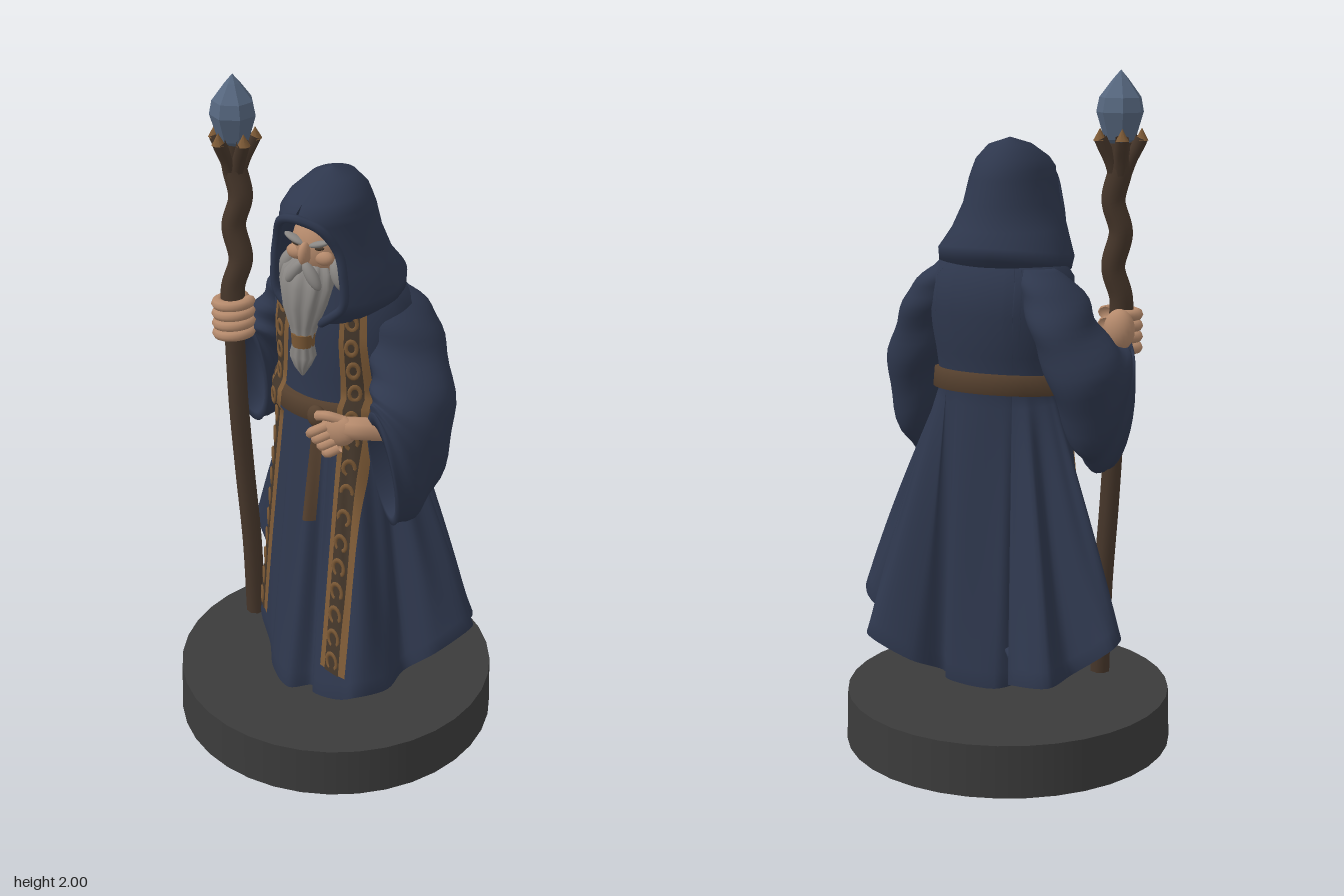
import * as THREE from 'three';

const V = (x, y, z) => new THREE.Vector3(x, y, z);
const TAU = Math.PI * 2;

// Skin a list of point rings into one smooth surface
function loft(rings, closed = true, capEnds = false) {
  const n = rings[0].length, pos = [], idx = [];
  rings.forEach(r => r.forEach(p => pos.push(p.x, p.y, p.z)));
  for (let j = 0; j < rings.length - 1; j++)
    for (let i = 0; i < (closed ? n : n - 1); i++) {
      const a = j * n + i, b = j * n + (i + 1) % n;
      idx.push(a, a + n, b, b, a + n, b + n);
    }
  if (capEnds) [0, rings.length - 1].forEach((j, e) => {
    const c = rings[j].reduce((s, p) => s.add(p), V(0, 0, 0)).divideScalar(n);
    const k = pos.length / 3;
    pos.push(c.x, c.y, c.z);
    for (let i = 0; i < n; i++) {
      const a = j * n + i, b = j * n + (i + 1) % n;
      e ? idx.push(a, k, b) : idx.push(a, b, k);
    }
  });
  const g = new THREE.BufferGeometry();
  g.setAttribute('position', new THREE.Float32BufferAttribute(pos, 3));
  g.setIndex(idx);
  g.computeVertexNormals();
  return g;
}

// Horizontal ring; rise lifts its back
const ellipse = (n, y, rx, rz, cz, { cx = 0, rise = 0, ripple = () => 1 } = {}) =>
  Array.from({ length: n }, (_, i) => {
    const a = i / n * TAU, k = ripple(a);
    return V(cx + Math.sin(a) * rx * k, y + rise * (1 - Math.cos(a)) / 2, cz + Math.cos(a) * rz * k);
  });

export function createModel() {
  const model = new THREE.Group();
  const mat = (name, color) => {
    const m = new THREE.MeshStandardMaterial({ color, side: THREE.DoubleSide });
    m.name = name;
    return m;
  };
  const M = {
    cloth: mat('navy cloth', 0x2e374d), wood: mat('staff wood', 0x46362a),
    leather: mat('belt leather', 0x55402e), gold: mat('trim gold', 0x7d5a36),
    dark: mat('trim recess', 0x43362a), skin: mat('skin', 0xb58a6c),
    hair: mat('grey hair', 0x8a8784), base: mat('base grey', 0x3b3b3b),
    crystal: mat('crystal blue', 0x56677f),
  };
  M.crystal.flatShading = true;
  const add = (name, geo, m, parent = model) => {
    const mesh = new THREE.Mesh(geo, m);
    mesh.name = name;
    parent.add(mesh);
    return mesh;
  };
  const blob = (name, m, p, s, rz = 0, parent = model) => {
    const b = add(name, new THREE.SphereGeometry(1, 20, 14), m, parent);
    b.position.set(...p); b.scale.set(...s); b.rotation.z = rz;
    return b;
  };
  const tube = (name, m, pts, r, parent = model, seg = 20) =>
    add(name, new THREE.TubeGeometry(new THREE.CatmullRomCurve3(pts.map(p => V(...p))), seg, r, 8), m, parent);

  // Round base
  add('base', new THREE.CylinderGeometry(0.485, 0.49, 0.155, 36), M.base).position.y = 0.0775;

  // Robe: hem outline as [x, z, y], blended up into waist and chest ellipses
  const hem = new THREE.CatmullRomCurve3([
    [0.47, 0, 0.43], [0.44, -0.07, 0.4], [0.31, -0.11, 0.31], [0.38, -0.18, 0.33], [0.35, -0.23, 0.33],
    [0.21, -0.24, 0.28], [0.13, -0.18, 0.24], [0.09, -0.24, 0.24], [-0.07, -0.26, 0.24], [-0.12, -0.23, 0.25],
    [-0.17, -0.38, 0.31], [-0.3, -0.41, 0.33], [-0.33, -0.31, 0.34], [-0.44, -0.28, 0.42], [-0.44, -0.21, 0.43],
    [-0.33, -0.13, 0.33], [-0.28, -0.04, 0.28], [-0.25, 0.05, 0.27], [-0.14, 0.16, 0.24], [-0.09, 0.22, 0.21],
    [0, 0.27, 0.2], [0.06, 0.235, 0.21], [0.1, 0.285, 0.23], [0.2, 0.31, 0.26], [0.26, 0.31, 0.29],
    [0.32, 0.22, 0.29], [0.32, 0.13, 0.3], [0.41, 0.1, 0.38],
  ].map(([x, z, y]) => V(x, y, z)), true).getPoints(168).slice(0, -1);
  const section = (y, rx, rz, cz) => hem.map(h => {
    const a = Math.atan2(h.x, h.z + 0.04);
    return V(Math.sin(a) * rx, y, cz + Math.cos(a) * rz);
  });
  const waist = section(1.1, 0.19, 0.15, -0.03);
  const rings = [hem.map(h => V(h.x * 0.8, h.y + 0.05, h.z * 0.8)), hem.map(h => V(h.x * 0.97, h.y + 0.002, h.z * 0.97))];
  for (let j = 0; j <= 18; j++) {
    const t = 1 - j / 18;
    rings.push(hem.map((h, i) => {
      const p = waist[i].clone().lerp(h, t), k = 1 + 0.03 * Math.sin(i * TAU / 8) * Math.sin(Math.PI * t);
      return V(p.x * k, p.y, p.z * k);
    }));
  }
  [[1.2, 0.2, 0.15, -0.04], [1.32, 0.22, 0.16, -0.05], [1.42, 0.22, 0.14, -0.05],
    [1.48, 0.17, 0.11, -0.03], [1.54, 0.08, 0.07, 0]].forEach(r => rings.push(section(...r)));
  const robe = add('robe', loft(rings, true, true), M.cloth);

  // Belt with hanging end
  const belt = add('belt', loft([[1.065, 0.19, 0.15], [1.07, 0.213, 0.172], [1.125, 0.208, 0.168], [1.13, 0.18, 0.14]]
    .map(([y, rx, rz]) => ellipse(48, y, rx, rz, -0.03, { rise: 0.025 }))), M.leather);

  // Strips laid over the front of the robe
  model.updateMatrixWorld(true);
  const ray = new THREE.Raycaster();
  let lastZ = 0.12;
  const onFront = (x, y, off) => {
    ray.set(V(x, y, 2), V(0, 0, -1));
    const hit = ray.intersectObjects([robe, belt])[0];
    if (hit) lastZ = hit.point.z;
    return V(x, y, lastZ + off);
  };
  const mix = THREE.MathUtils.lerp;
  const strip = (name, m, [y0, a0, b0], [y1, a1, b1], off, inset = 0) => {
    const rows = [];
    for (let j = 0; j <= 44; j++) {
      const t = j / 44, a = mix(a0, a1, t), b = mix(b0, b1, t), row = [];
      for (let i = 6; i >= 0; i--) row.push(onFront(mix(a, b, mix(inset, 1 - inset, i / 6)), mix(y0, y1, t), off));
      rows.push(row);
    }
    add(name, loft(rows, false), m);
  };
  [['left', [1.42, 0.072, 0.143], [0.34, 0.122, 0.222]], ['right', [1.42, -0.158, -0.087], [0.33, -0.257, -0.168]]]
    .forEach(([side, top, low]) => {
      strip(side + 'Trim', M.gold, top, low, 0.008);
      strip(side + 'TrimRecess', M.dark, top, low, 0.012, 0.22);
      for (let k = 0; k < 15; k++) {
        const t = (k + 0.5) / 15, a = mix(top[1], low[1], t), b = mix(top[2], low[2], t), y = mix(top[0], low[0], t);
        const ring = add(side + 'TrimOrnament', new THREE.TorusGeometry(0.2 * (b - a), 0.006, 5, 14), M.gold);
        ring.position.copy(onFront((a + b) / 2, y, 0.013));
        const s = onFront(b - 0.01, y, 0).z - onFront(a + 0.01, y, 0).z;
        ring.rotation.y = -Math.atan2(s, b - a - 0.02);
        ring.scale.set(1, 1.4, 0.6);
      }
    });
  strip('beltEnd', M.leather, [1.1, 0.01, 0.045], [0.76, 0.005, 0.04], 0.014);
  blob('beltKnot', M.leather, [0.03, 1.095, 0.15], [0.03, 0.035, 0.02]);

  // Sleeves: rings [x, y, z, side radius, depth radius, turn from forward to up]
  const sleeve = (name, f, s, list) => {
    const at = (arr, t) => { // smooth interpolation through the listed rings
      const i = Math.min(Math.floor(t), arr.length - 2), c = q => arr[Math.max(0, Math.min(arr.length - 1, q))];
      const u = t - i, m0 = (c(i + 1) - c(i - 1)) / 2, m1 = (c(i + 2) - c(i)) / 2, d = c(i + 1) - c(i);
      return c(i) + u * m0 + u * u * (3 * d - 2 * m0 - m1) + u * u * u * (m0 + m1 - 2 * d);
    };
    const out = [];
    for (let j = 0; j <= 30; j++) {
      const [x, y, z, rs, rb, th] = [0, 1, 2, 3, 4, 5].map(k => at(list.map(r => r[k]), j / 30 * (list.length - 1)));
      const b = f.clone().multiplyScalar(Math.cos(th)).add(V(0, Math.sin(th), 0));
      out.push(Array.from({ length: 32 }, (_, i) => {
        const a = i / 32 * TAU, w = 1 + 0.04 * Math.sin(j * 1.1 + Math.cos(a) * 2);
        return V(x, y, z).addScaledVector(s, Math.sin(a) * rs * w).addScaledVector(b, Math.cos(a) * rb * w);
      }));
    }
    // Turned-in cuff lip
    const last = out[out.length - 1], c = last.reduce((q, p) => q.add(p), V(0, 0, 0)).divideScalar(32);
    out.push(last.map(p => p.clone().lerp(c, 0.15)), last.map(p => p.clone().lerp(c, 0.3).addScaledVector(f, -0.05)));
    add(name, loft(out, true, true), M.cloth);
  };
  sleeve('leftSleeve', V(-0.5, 0, 0.86), V(0.86, 0, 0.5), [
    [0.13, 1.45, -0.06, 0.05, 0.06, 0], [0.175, 1.385, -0.06, 0.08, 0.1, 0], [0.215, 1.29, -0.04, 0.09, 0.115, 0],
    [0.265, 1.18, 0.01, 0.115, 0.13, 0.35], [0.28, 1.07, 0.06, 0.095, 0.165, 0.85],
    [0.27, 1.0, 0.11, 0.085, 0.19, 1.2], [0.25, 0.98, 0.15, 0.07, 0.19, 1.4]]);
  sleeve('rightSleeve', V(-0.1, 0, 1), V(-1, 0, -0.1), [
    [-0.13, 1.45, -0.09, 0.05, 0.06, 0], [-0.185, 1.385, -0.11, 0.085, 0.1, 0], [-0.235, 1.29, -0.14, 0.09, 0.115, 0.1],
    [-0.295, 1.19, -0.135, 0.105, 0.13, 0.4], [-0.32, 1.11, -0.09, 0.09, 0.18, 0.9],
    [-0.33, 1.08, -0.06, 0.08, 0.2, 1.2], [-0.335, 1.07, -0.03, 0.07, 0.2, 1.4]]);

  // Hood: rows [y, half width, front z, back z, half opening angle]
  const rows = [[1.805, 0, 0.015, 0.015, 0], [1.785, 0.06, 0.09, -0.06, 0], [1.745, 0.1, 0.17, -0.1, 0],
    [1.715, 0.113, 0.205, -0.115, 0.05], [1.69, 0.12, 0.205, -0.125, 0.55], [1.62, 0.135, 0.2, -0.14, 0.82],
    [1.55, 0.165, 0.185, -0.16, 0.74], [1.48, 0.2, 0.165, -0.19, 0.58], [1.445, 0.195, 0.15, -0.19, 0.4],
    [1.41, 0.15, 0.13, -0.15, 0.2]];
  const hoodRows = rows.map(([y, rx, zf, zb, gap]) => Array.from({ length: 49 }, (_, i) => {
    const a = gap + (TAU - 2 * gap) * i / 48, c = Math.cos(a);
    return V(Math.sin(a) * rx, y + (y < 1.5 ? -0.03 * c : 0), (zf + zb) / 2 + c * (zf - zb) / 2);
  }));
  add('hood', loft(hoodRows, false), M.cloth);
  const rim = hoodRows.slice(3);
  tube('hoodRim', M.cloth, [...rim.map(r => r[0]).reverse(), ...rim.map(r => r[48])].map(p => [p.x, p.y, p.z]), 0.013, model, 60);

  // Head
  const head = new THREE.Group();
  head.name = 'head';
  model.add(head);
  blob('face', M.skin, [0, 1.6, 0.06], [0.088, 0.105, 0.095], 0, head);
  blob('nose', M.skin, [0, 1.597, 0.16], [0.016, 0.034, 0.024], 0, head);
  for (const s of [-1, 1]) {
    blob('cheek', M.skin, [s * 0.045, 1.585, 0.132], [0.03, 0.022, 0.02], 0, head);
    blob('eye', M.dark, [s * 0.036, 1.615, 0.144], [0.018, 0.006, 0.006], s * 0.2, head);
    blob('brow', M.hair, [s * 0.04, 1.63, 0.148], [0.034, 0.009, 0.015], s * 0.35, head);
    blob('moustache', M.hair, [s * 0.028, 1.54, 0.168], [0.018, 0.045, 0.018], s * 0.6, head);
    blob('sideHair', M.hair, [s * 0.085, 1.535, 0.11], [0.026, 0.05, 0.03], s * 0.4, head);
  }
  const ripple = a => 1 + 0.08 * Math.cos(9 * a);
  add('beard', loft([[1.565, 0.05, 0.03, 0.11], [1.54, 0.072, 0.05, 0.125], [1.5, 0.078, 0.055, 0.135], [1.44, 0.064, 0.05, 0.145],
    [1.38, 0.042, 0.035, 0.15], [1.33, 0.028, 0.026, 0.152], [1.285, 0.038, 0.032, 0.155], [1.25, 0.022, 0.022, 0.156], [1.22, 0.004, 0.004, 0.156]]
    .map(([y, rx, rz, z]) => ellipse(54, y, rx, rz, z, { cx: -0.012, ripple })), true, true), M.hair, head);
  add('beardTie', new THREE.CylinderGeometry(0.035, 0.032, 0.04, 20), M.gold, head).position.set(-0.012, 1.335, 0.152);

  // Gnarled staff, thicker above the hand
  tube('staffLower', M.wood, [[-0.29, 0.235, 0.02], [-0.295, 0.5, 0.025], [-0.308, 0.75, 0.035],
    [-0.318, 1.0, 0.045], [-0.328, 1.2, 0.04], [-0.338, 1.32, 0.03]], 0.03, model, 40);
  tube('staffUpper', M.wood, [[-0.33, 1.24, 0.035], [-0.34, 1.36, 0.025], [-0.32, 1.45, 0.01], [-0.342, 1.55, 0.01],
    [-0.322, 1.64, 0], [-0.342, 1.73, 0], [-0.34, 1.8, 0]], 0.036, model, 50);

  // Claws holding the crystal
  for (let k = 0; k < 5; k++) {
    const a = k / 5 * TAU + 0.5, p = (r, y) => [-0.34 + Math.cos(a) * r, y, Math.sin(a) * r];
    tube('staffClaw', M.wood, [p(0.01, 1.7), p(0.03, 1.755), p(0.048, 1.79), p(0.06, 1.815)], 0.02, model, 10);
    const tip = add('clawTip', new THREE.ConeGeometry(0.02, 0.035, 8), M.gold);
    tip.position.set(...p(0.061, 1.825));
  }
  add('crystal', new THREE.LatheGeometry([[0, 1.78], [0.045, 1.81], [0.068, 1.885], [0.06, 1.925], [0.022, 1.975], [0, 2]]
    .map(p => new THREE.Vector2(...p)), 7), M.crystal).position.set(-0.34, 0, 0);

  // Right hand gripping the staff
  blob('rightPalm', M.skin, [-0.35, 1.275, -0.015], [0.045, 0.06, 0.04]);
  for (let k = 0; k < 4; k++) {
    const finger = add('rightFinger', new THREE.TorusGeometry(0.04, 0.017, 8, 20, Math.PI * 1.5), M.skin);
    finger.position.set(-0.337, 1.22 + k * 0.032, 0.03);
    finger.rotation.set(Math.PI / 2, 0.08, -0.6);
    finger.scale.x = 1.15;
  }

  // Left hand resting on the belt
  blob('leftPalm', M.skin, [0.125, 1.095, 0.185], [0.06, 0.048, 0.03], 0.35);
  tube('leftWrist', M.skin, [[0.24, 1.1, 0.12], [0.18, 1.11, 0.17], [0.12, 1.1, 0.18]], 0.034);
  for (let k = 0; k < 4; k++)
    tube('leftFinger', M.skin, [[0.1 + k * 0.013, 1.11 - k * 0.02, 0.2], [0.06 + k * 0.016, 1.085 - k * 0.018, 0.215],
      [0.035 + k * 0.018, 1.06 - k * 0.012, 0.19]], 0.015, model, 8);
  tube('leftThumb', M.skin, [[0.14, 1.13, 0.185], [0.1, 1.14, 0.2], [0.06, 1.125, 0.19]], 0.015, model, 8);
  return model;
}
